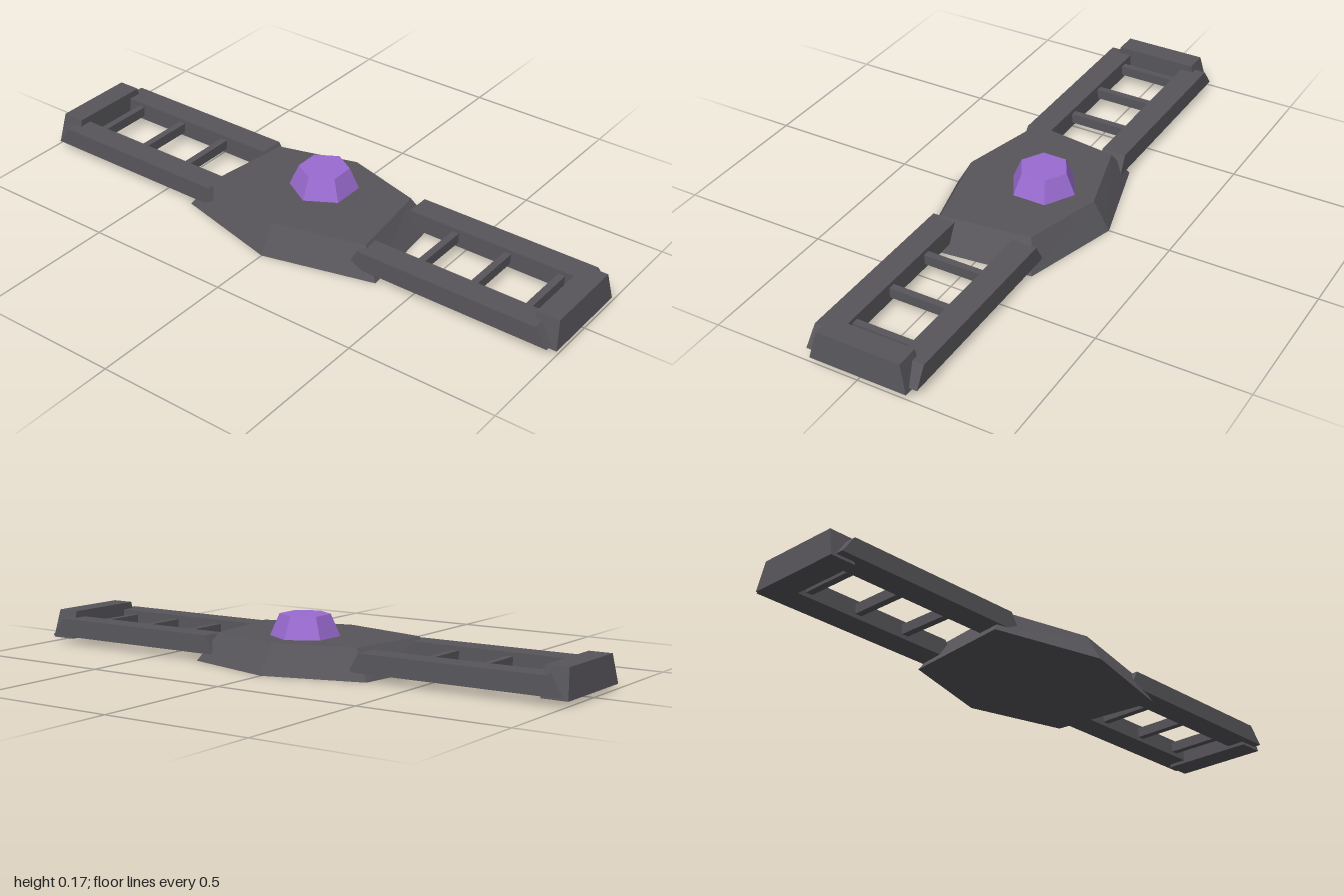
import * as THREE from 'three';

// Closed convex solid between two horizontal outlines, [x, z] points counter-clockwise from above
function loft(bottom, y0, top, y1) {
  const b = bottom.map(([x, z]) => [x, y0, z]);
  const t = top.map(([x, z]) => [x, y1, z]);
  const pos = [];
  const tri = (...pts) => pts.forEach((p) => pos.push(...p));
  const n = b.length;
  for (let i = 0; i < n; i++) {
    const j = (i + 1) % n;
    tri(b[i], b[j], t[j]);
    tri(b[i], t[j], t[i]);
    if (i > 0 && j > 0) {
      tri(t[0], t[i], t[j]);
      tri(b[0], b[j], b[i]);
    }
  }
  const geo = new THREE.BufferGeometry();
  geo.setAttribute('position', new THREE.Float32BufferAttribute(pos, 3));
  geo.computeVertexNormals();
  return geo;
}

// Rectangle outline, counter-clockwise from above
const rect = (x0, x1, z0, z1) => [[x1, z1], [x1, z0], [x0, z0], [x0, z1]];

export function createModel() {
  const metal = new THREE.MeshStandardMaterial({ color: 0x57555a, flatShading: true });
  metal.name = 'darkMetal';
  const purple = new THREE.MeshStandardMaterial({ color: 0x9a6bd0, flatShading: true });
  purple.name = 'purpleGem';

  const model = new THREE.Group();
  model.name = 'bracelet';
  const add = (parent, name, geo, mat) => {
    const mesh = new THREE.Mesh(geo, mat);
    mesh.name = name;
    parent.add(mesh);
    return mesh;
  };

  // Lopsided hexagonal body with sloping sides
  add(model, 'body', loft(
    [[0.285, 0], [0.19, -0.333], [-0.19, -0.375], [-0.285, 0], [-0.19, 0.375], [0.19, 0.333]], 0,
    [[0.228, 0], [0.152, -0.27], [-0.155, -0.31], [-0.23, 0], [-0.155, 0.31], [0.152, 0.27]], 0.096
  ), metal);

  // Six-sided gem, set a little off centre
  const gem = add(model, 'gem', new THREE.CylinderGeometry(0.083, 0.115, 0.074, 6), purple);
  gem.geometry.rotateY(Math.PI / 6);
  gem.position.set(0.045, 0.131, 0);

  // Two ladder straps, front and back
  for (const [name, turn] of [['frontStrap', 0], ['backStrap', Math.PI]]) {
    const strap = new THREE.Group();
    strap.name = name;
    strap.rotation.y = turn;
    model.add(strap);

    // Side rails with bevelled ends
    for (const side of [-1, 1]) {
      const x = side * 0.145;
      add(strap, side < 0 ? 'rightRail' : 'leftRail', loft(
        rect(x - 0.045, x + 0.045, 0.265, 0.98), 0.026,
        rect(x - 0.042, x + 0.042, 0.3, 0.935), 0.087
      ), metal);
    }

    // Cross rungs
    for (const z of [0.475, 0.666, 0.857]) {
      const rung = add(strap, 'rung', new THREE.BoxGeometry(0.22, 0.034, 0.024), metal);
      rung.position.set(0, 0.057, z);
    }

    // End cap
    add(strap, 'endCap', loft(
      rect(-0.166, 0.166, 0.912, 1), 0.015,
      rect(-0.143, 0.143, 0.912, 0.99), 0.11
    ), metal);
  }
  return model;
}
